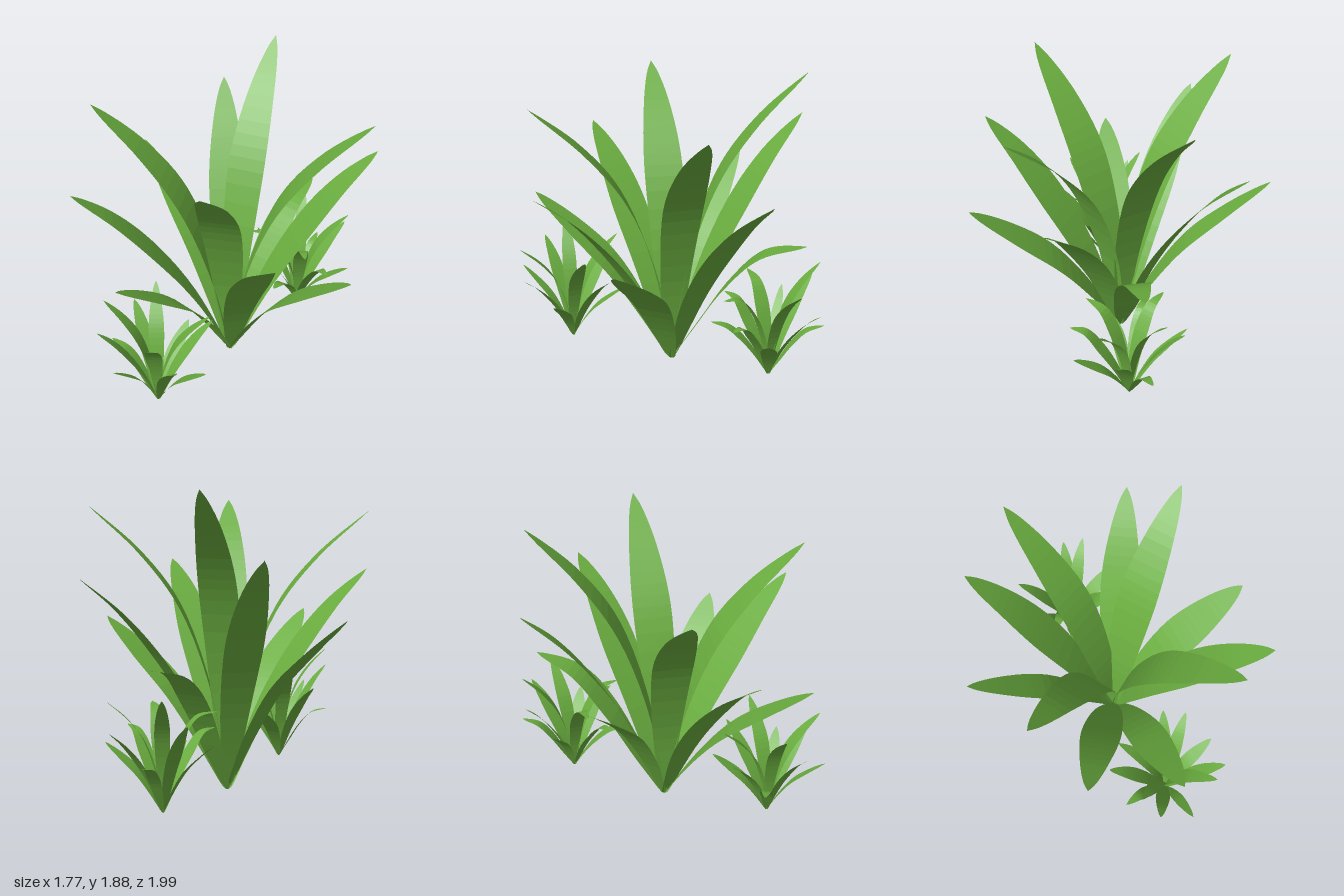
import * as THREE from 'three';

const leafGreen = new THREE.MeshStandardMaterial({ color: 0x6aad3f, side: THREE.DoubleSide, flatShading: true });
leafGreen.name = 'leaf green';

// Leaf outline: (position along the leaf, half width)
const outline = new THREE.SplineCurve([
  [0, 0], [0.02, 0.027], [0.1, 0.05], [0.3, 0.09], [0.55, 0.118],
  [0.7, 0.112], [0.85, 0.078], [0.95, 0.038], [1, 0],
].map(([s, w]) => new THREE.Vector2(s, w)));

// Bends of the midrib: (share of reach, share of height)
const upright = [[0.12, 0.36], [0.35, 0.66], [0.63, 0.84]];
const leaning = [[0.25, 0.38], [0.48, 0.63], [0.74, 0.845]];
const low = [[0.22, 0.34], [0.44, 0.6], [0.72, 0.815]];
const drooping = [[0.2, 0.31], [0.42, 0.64], [0.68, 0.9]];

// tip x, y, z, bend, width scale
const leaves = [
  [-0.89, 1.16, -0.15, low, 0.7],
  [-0.64, 1.52, -0.62, leaning, 0.95],
  [-0.31, 1.88, -0.73, upright, 0.95],
  [-0.06, 0.91, -0.84, drooping, 0.82],
  [0.47, 1.36, -0.78, leaning, 1],
  [0.65, 1.74, -0.47, upright, 1],
  [0.88, 1.0, -0.03, low, 1.06],
  [0.75, 1.32, 0.51, leaning, 1],
  [0.42, 1.71, 0.69, upright, 1],
  [-0.03, 1.0, 0.91, low, 0.95],
  [-0.56, 1.32, 0.75, leaning, 1],
  [-0.73, 1.71, 0.41, upright, 1],
];

// Flat ribbon swept along a bent midrib, kept level across its width
function leafGeometry([tx, ty, tz, bend, width], droop) {
  const bx = -0.02, bz = -0.01;
  const dx = tx - bx, dz = tz - bz, reach = Math.hypot(dx, dz);
  const midrib = new THREE.CatmullRomCurve3([
    new THREE.Vector3(bx, 0, bz),
    ...bend.map(([r, h]) => new THREE.Vector3(bx + dx * r, ty * h, bz + dz * r)),
    new THREE.Vector3(tx, ty * droop, tz),
  ]);
  const side = new THREE.Vector3(dz / reach, 0, -dx / reach);
  const steps = 32, positions = [], index = [];
  for (let i = 0; i <= steps; i++) {
    const o = outline.getPoint(i / steps);
    const p = midrib.getPointAt(THREE.MathUtils.clamp(o.x, 0, 1));
    const w = Math.max(o.y, 0) * width;
    for (const k of [-1, 1]) positions.push(p.x + side.x * w * k, p.y, p.z + side.z * w * k);
    if (i < steps) {
      const a = i * 2;
      index.push(a, a + 1, a + 2, a + 1, a + 3, a + 2);
    }
  }
  const g = new THREE.BufferGeometry();
  g.setAttribute('position', new THREE.Float32BufferAttribute(positions, 3));
  g.setIndex(index);
  g.computeVertexNormals();
  return g;
}

// One rosette; the leaves from index droopFrom onward sag at the tip
function makePlant(name, droopFrom = Infinity) {
  const plant = new THREE.Group();
  plant.name = name;
  leaves.forEach((leaf, i) => {
    const mesh = new THREE.Mesh(leafGeometry(leaf, i >= droopFrom ? 0.87 : 1), leafGreen);
    mesh.name = 'leaf' + (i + 1);
    plant.add(mesh);
  });
  return plant;
}

export function createModel() {
  const model = new THREE.Group();
  model.name = 'leafyPlants';
  model.add(makePlant('largePlant'));

  // Two small offshoots, turned copies of the large plant
  const front = makePlant('frontSmallPlant');
  front.scale.setScalar(0.388);
  front.position.set(0.01, 0.04, 0.655);
  front.rotation.y = 1.74;

  const back = makePlant('backSmallPlant', 7);
  back.scale.setScalar(0.388);
  back.position.set(0.01, 0.04, -0.65);
  back.rotation.y = 0.245;

  model.add(front, back);
  return model;
}
